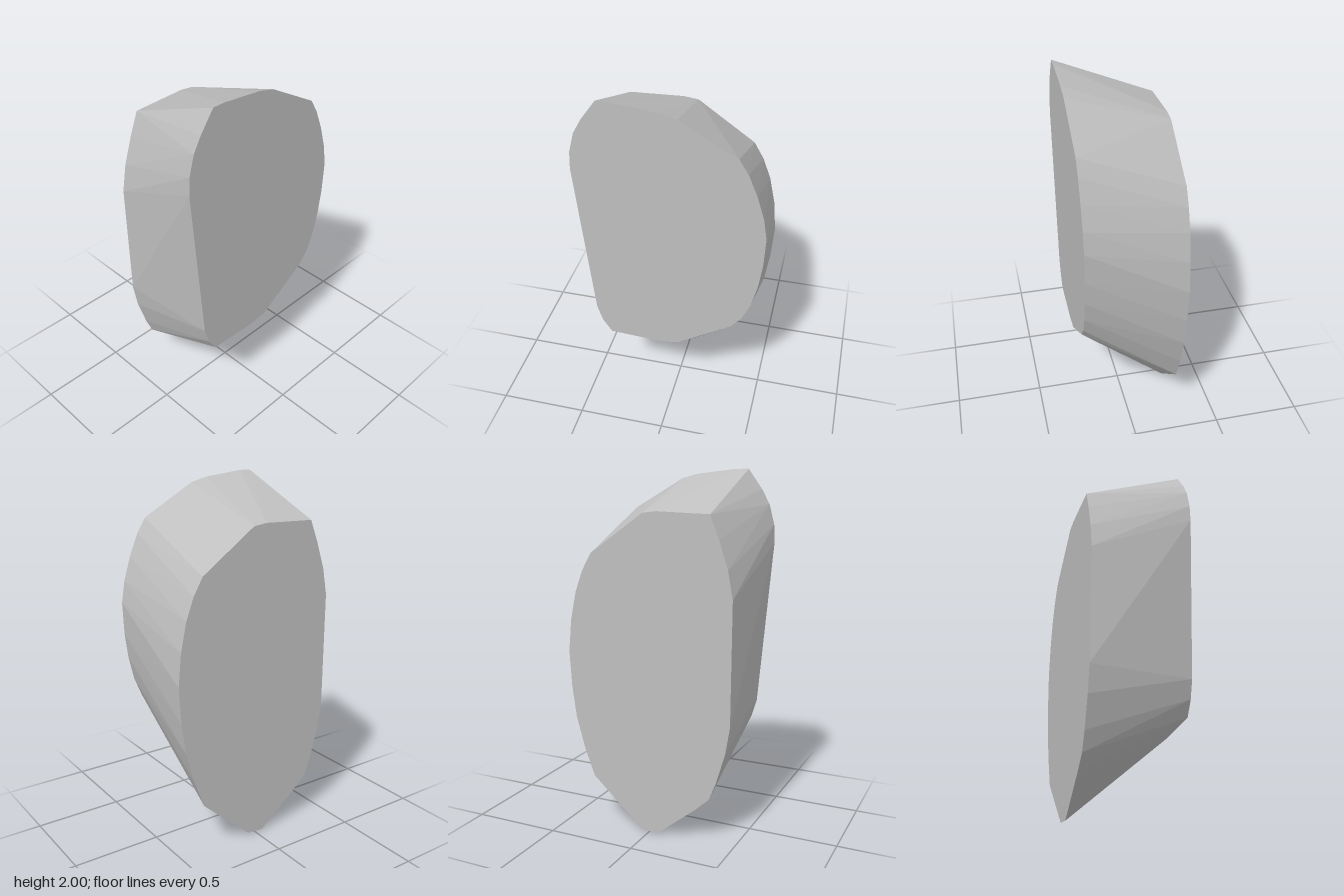
import * as THREE from 'three';
import { ConvexGeometry } from 'three/addons/geometries/ConvexGeometry.js';

// Outlines of the two flat ends, clockwise from the top left
const FRONT = [
  [-0.35, 2], [-0.28, 2], [-0.05, 1.975], [0.05, 1.95], [0.35, 1.78], [0.4, 1.7],
  [0.45, 1.58], [0.49, 1.45], [0.51, 1.33], [0.503, 1.15], [0.485, 1.01], [0.455, 0.88],
  [0.41, 0.77], [0.35, 0.695], [0.05, 0.5], [-0.05, 0.485], [-0.35, 0.5], [-0.4, 0.58],
  [-0.43, 0.68], [-0.51, 1.6], [-0.505, 1.7], [-0.475, 1.81], [-0.43, 1.89],
];
const BACK = [
  [-0.35, 1.775], [-0.05, 1.785], [0.03, 1.775], [0.345, 1.555], [0.4, 1.46], [0.445, 1.34],
  [0.48, 1.18], [0.497, 1], [0.485, 0.8], [0.46, 0.62], [0.41, 0.44], [0.35, 0.28],
  [0.05, 0.01], [-0.05, 0], [-0.28, 0.185], [-0.36, 0.26], [-0.4, 0.36], [-0.45, 0.53],
  [-0.475, 0.68], [-0.478, 1.35], [-0.45, 1.5], [-0.4, 1.65],
];
const HALF_DEPTH = 0.278;

export function createModel() {
  const model = new THREE.Group();
  model.name = 'slantedBlock';
  const grey = new THREE.MeshStandardMaterial({ color: 0xbfbfbf });
  grey.name = 'stone grey';

  // Faceted block stretched between the raised front and the lower back
  const place = (outline, z) => outline.map(([x, y]) => new THREE.Vector3(x, y, z));
  const points = [...place(FRONT, HALF_DEPTH), ...place(BACK, -HALF_DEPTH)];
  const block = new THREE.Mesh(new ConvexGeometry(points), grey);
  block.name = 'block';
  model.add(block);
  return model;
}
